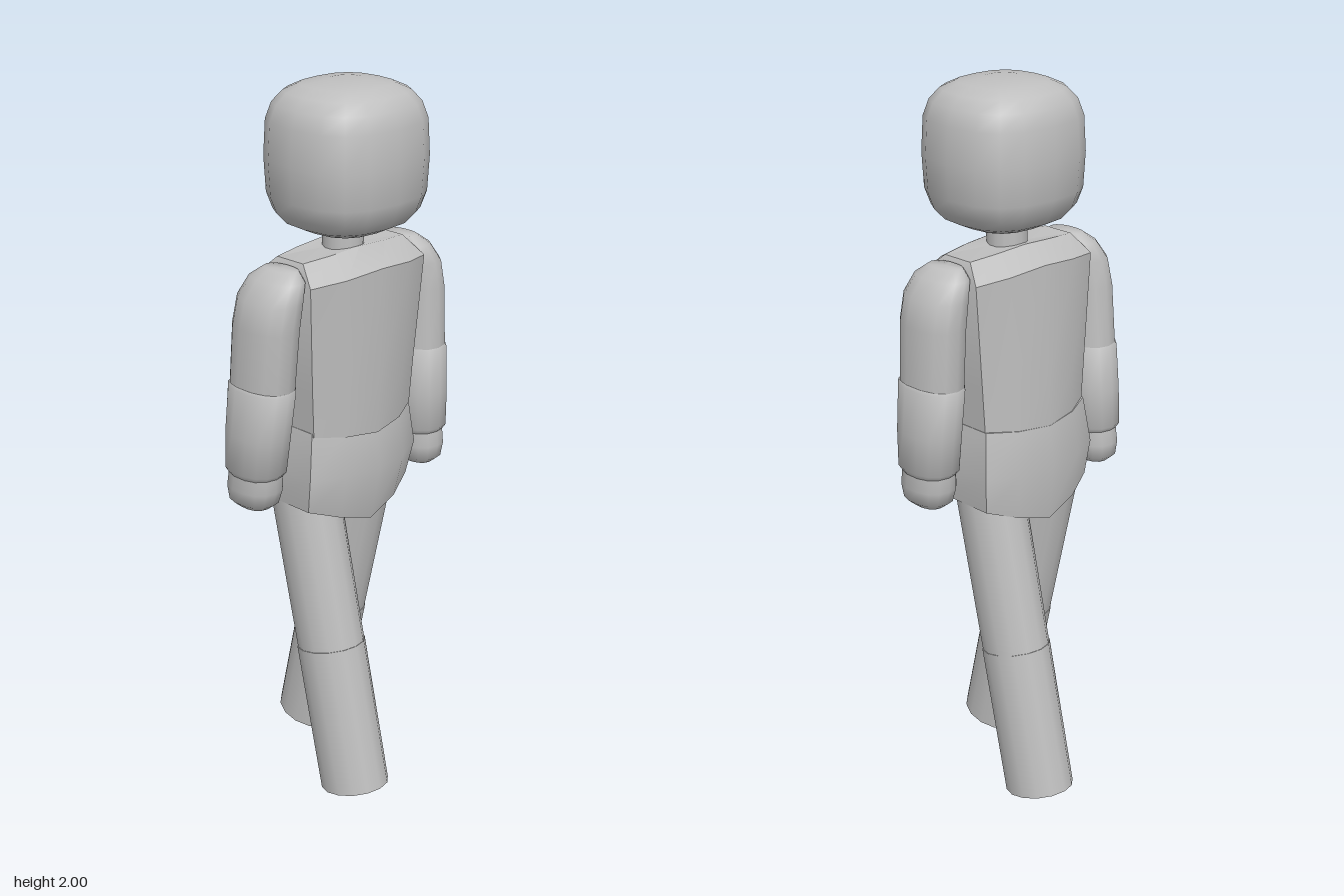
import * as THREE from 'three';
import { toCreasedNormals } from 'three/addons/utils/BufferGeometryUtils.js';

const grey = new THREE.MeshStandardMaterial({ color: 0xbfbfbf });
grey.name = 'plainGrey';

// Skin a stack of rings (bottom to top, counterclockwise from above) and cap both ends
function loft(rings, crease = 0.6) {
  const n = rings[0].length;
  const pos = rings.flat(2);
  const index = [];
  for (let i = 0; i < rings.length - 1; i++) {
    for (let j = 0; j < n; j++) {
      const k = (j + 1) % n;
      const a = i * n + j, b = i * n + k;
      index.push(a, b, b + n, a, b + n, a + n);
    }
  }
  const cap = (ring, start, up) => {
    const c = [0, 1, 2].map((d) => ring.reduce((s, p) => s + p[d], 0) / n);
    const id = pos.length / 3;
    pos.push(...c);
    for (let j = 0; j < n; j++) {
      const a = start + j, b = start + (j + 1) % n;
      index.push(id, up ? a : b, up ? b : a);
    }
  };
  cap(rings[0], 0, false);
  cap(rings[rings.length - 1], (rings.length - 1) * n, true);
  const g = new THREE.BufferGeometry();
  g.setAttribute('position', new THREE.Float32BufferAttribute(pos, 3));
  g.setIndex(index);
  return toCreasedNormals(g, crease);
}

const power = (v, e) => Math.sign(v) * Math.abs(v) ** e;

// Rounded-square ring; exponent 2 gives an ellipse
function oval(cx, y, cz, rx, rz, exponent = 2, sides = 14) {
  return Array.from({ length: sides }, (_, i) => {
    const a = (i / sides) * Math.PI * 2;
    return [cx + rx * power(Math.sin(a), 2 / exponent), y, cz + rz * power(Math.cos(a), 2 / exponent)];
  });
}

// Ten-sided body section with ridges on the front and back centre lines
function bodyRing([yMid, ySide, w, front, back, sideFront, sideBack]) {
  const y = (yMid + ySide) / 2;
  const half = [
    [w * 0.55, y, front * 0.72 + sideFront * 0.28],
    [w, ySide, sideFront],
    [w, ySide, sideBack],
    [w * 0.55, y, back * 0.72 + sideBack * 0.28],
  ];
  const mirrored = half.map(([x, py, z]) => [-x, py, z]).reverse();
  return [[0, yMid, front], ...half, [0, yMid, back], ...mirrored];
}

export function createModel() {
  const model = new THREE.Group();
  model.name = 'walkingFigure';
  const add = (name, geometry, parent = model) => {
    const mesh = new THREE.Mesh(geometry, grey);
    mesh.name = name;
    parent.add(mesh);
    return mesh;
  };

  // Head: rounded block
  const headRings = [];
  for (let i = 0; i <= 10; i++) {
    const a = (-0.47 + 0.094 * i) * Math.PI;
    const r = power(Math.cos(a), 0.58);
    headRings.push(oval(0, 1.805 + 0.195 * power(Math.sin(a), 0.58), 0.052, 0.2 * r, 0.19 * r, 2.7, 16));
  }
  add('head', loft(headRings, 1.2));

  // Neck
  const neck = add('neck', new THREE.CylinderGeometry(0.055, 0.055, 0.12, 14));
  neck.position.set(0, 1.59, 0.04);

  // Torso and hips: centre height, side height, half width, front, back, side front, side back
  add('torso', loft([
    [1.07, 1.09, 0.183, 0.172, -0.125, 0.115, -0.065],
    [1.22, 1.22, 0.192, 0.177, -0.12, 0.12, -0.065],
    [1.53, 1.51, 0.212, 0.185, -0.103, 0.135, -0.065],
    [1.572, 1.56, 0.185, 0.1, -0.03, 0.08, -0.015],
  ].map(bodyRing)));
  add('hips', loft([
    [0.81, 0.87, 0.19, 0.15, -0.125, 0.1, -0.075],
    [0.97, 0.97, 0.202, 0.183, -0.14, 0.12, -0.085],
    [1.085, 1.1, 0.185, 0.165, -0.125, 0.11, -0.07],
  ].map(bodyRing)));

  for (const side of [1, -1]) {
    const label = side > 0 ? 'left' : 'right';

    // Arm: the left swings forward and the right swings back
    const arm = new THREE.Group();
    arm.name = label + 'Arm';
    model.add(arm);
    const swing = side > 0 ? 0.05 : -0.1;
    const armRing = ([y, x, rx, rz]) => oval(side * x, y, 0.036 + swing * (1.5 - y), rx, rz, 2.3);
    add(label + 'UpperArm', loft([
      [1.2, 0.267, 0.067, 0.098],
      [1.4, 0.267, 0.068, 0.1],
      [1.475, 0.258, 0.065, 0.098],
      [1.525, 0.237, 0.052, 0.085],
      [1.55, 0.225, 0.03, 0.055],
    ].map(armRing), 1.2), arm);
    add(label + 'Forearm', loft([
      [0.975, 0.272, 0.058, 0.075],
      [0.995, 0.272, 0.07, 0.09],
      [1.1, 0.272, 0.073, 0.096],
      [1.23, 0.268, 0.071, 0.102],
      [1.245, 0.268, 0.062, 0.09],
    ].map(armRing), 1.2), arm);
    add(label + 'Hand', loft([
      [0.882, 0.272, 0.035, 0.05],
      [0.9, 0.272, 0.056, 0.073],
      [0.94, 0.272, 0.063, 0.082],
      [0.99, 0.272, 0.06, 0.08],
    ].map(armRing), 1.2), arm);

    // Leg: straight, left one back and right one forward
    const leg = new THREE.Group();
    leg.name = label + 'Leg';
    leg.position.set(side * 0.1, 0.9, side * 0.01);
    leg.rotation.x = side * 0.226;
    model.add(leg);
    const thigh = add(label + 'Thigh', new THREE.CylinderGeometry(0.101, 0.1, 0.47, 14), leg);
    thigh.position.y = -0.235;
    const shin = add(label + 'Shin', new THREE.CylinderGeometry(0.102, 0.102, 0.43, 14), leg);
    shin.position.y = -0.685;
    thigh.scale.x = shin.scale.x = 0.89;
  }
  return model;
}
